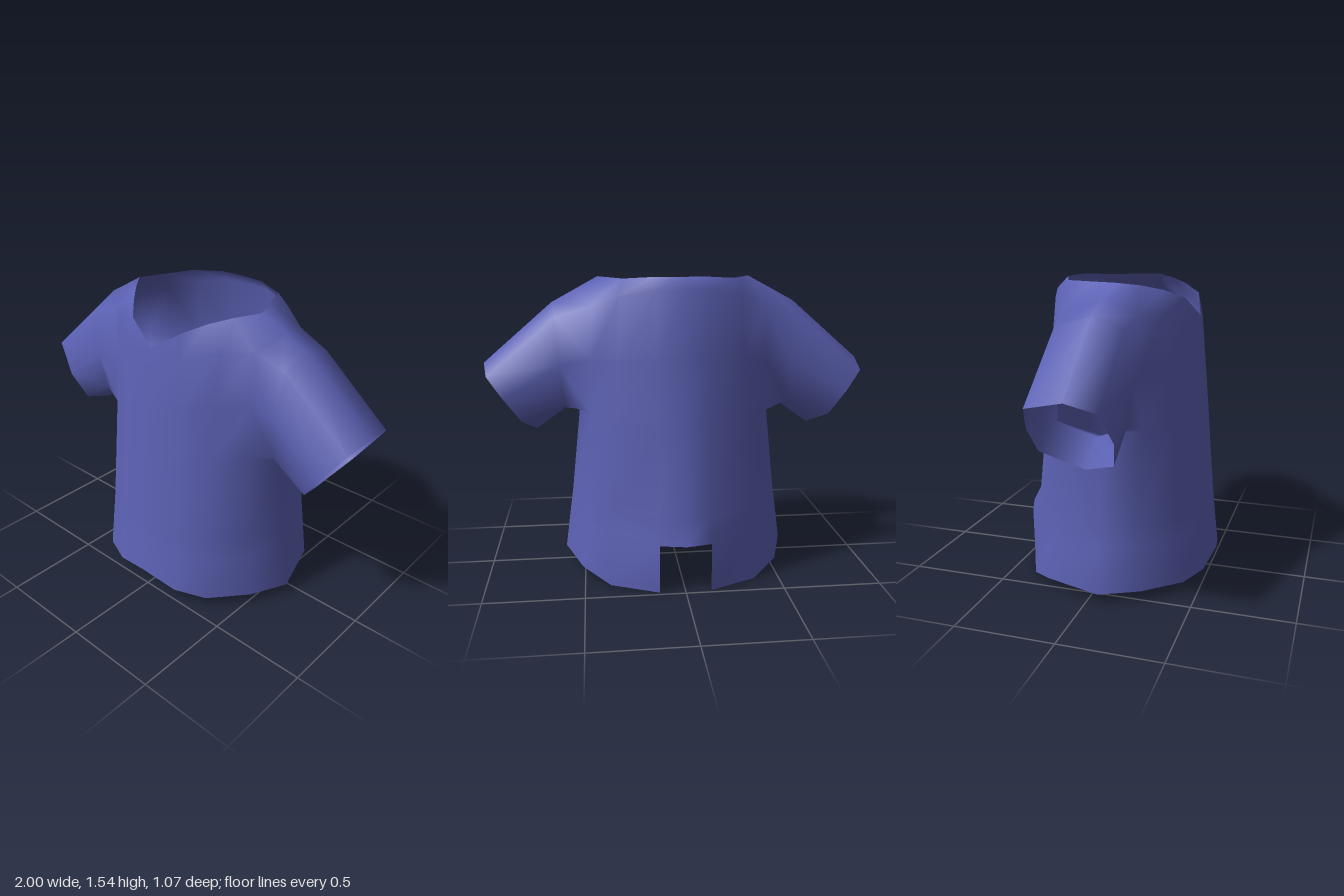
import * as THREE from 'three';

// Half cross-sections of the body, from centre front round the +x side to centre back: [x, y, z]
const HEM = [[0, .11, .53], [.2, .065, .5], [.36, .055, .43], [.51, .05, .25], [.605, .05, .06], [.51, .05, -.24], [.37, 0, -.37], [.13, 0, -.48], [0, 0, -.54]];
const ARMPIT = [[0, .84, .455], [.18, .84, .43], [.33, .84, .36], [.46, .85, .235], [.51, .83, .06], [.45, .86, -.2], [.34, .84, -.3], [.13, .84, -.385], [0, .84, -.4]];
const SHOULDER = [[0, 1.25, .42], [.18, 1.33, .385], [.34, 1.38, .3], [.45, 1.39, .21], [.52, 1.465, .07], [.44, 1.4, -.165], [.3, 1.45, -.25], [.13, 1.48, -.31], [0, 1.48, -.32]];
const NECK = [[0, 1.35, .41], [.16, 1.45, .365], [.24, 1.49, .28], [.32, 1.515, .19], [.4, 1.53, .09], [.34, 1.53, -.05], [.28, 1.53, -.19], [.13, 1.54, -.25], [0, 1.54, -.26]];

// Armhole as [row, column] of the body: top, front, bottom, back
const ARMHOLE = [[5, 4], [5, 3], [4, 3], [3, 3], [3, 4], [3, 5], [4, 5], [5, 5]];

// Sleeve lines in armhole order: [z, middle x, middle y, height up the slanted cuff 0..1]
const SLEEVE = [
  [.06, .64, 1.4, 1], [.2, .62, 1.34, .88], [.232, .6, 1.1, .45], [.2, .58, .89, .1],
  [.06, .585, .84, 0], [-.14, .58, .9, .24], [-.155, .6, 1.1, .58], [-.13, .62, 1.34, .88],
];

const COLS = 16;

const blend = (from, to, t) => from.map((p, i) => p.map((v, k) => v + (to[i][k] - v) * t));
const level = (section, y) => section.map(([x, , z]) => [x, y, z]);

export function createModel() {
  const points = [];
  const parts = { body: [], leftSleeve: [], rightSleeve: [] };
  const add = ([x, y, z], side = 1) => points.push(x * side, y, z) / 3 - 1;
  const quad = (list, a, b, c, d) => list.push(a, b, c, a, c, d);

  // The row at the top of the back notch kicks out into a small lip
  const notchRow = level(blend(HEM, ARMPIT, .33), .28);
  notchRow[7] = [.13, .25, -.485];
  notchRow[8] = [0, .26, -.535];
  const sections = [
    HEM,
    notchRow,
    level(blend(HEM, ARMPIT, .48), .38),
    ARMPIT,
    blend(ARMPIT, SHOULDER, .5),
    SHOULDER,
    NECK,
  ];

  // Body rings, mirrored to the -x side
  const rows = sections.map((half) =>
    Array.from({ length: COLS }, (_, j) => (j <= 8 ? add(half[j]) : add(half[COLS - j], -1))));

  for (let r = 0; r < rows.length - 1; r++) {
    for (let j = 0; j < COLS; j++) {
      const backNotch = r === 0 && (j === 7 || j === 8);
      const armhole = (r === 3 || r === 4) && [3, 4, 11, 12].includes(j);
      if (backNotch || armhole) continue;
      const k = (j + 1) % COLS;
      quad(parts.body, rows[r][j], rows[r][k], rows[r + 1][k], rows[r + 1][j]);
    }
  }

  // Sleeves grow out of the armholes to a slanted cuff
  const sleeveRings = [
    SLEEVE.map(([z, x, y]) => [x, y, z]),
    SLEEVE.map(([z, , , s]) => [.74 + .26 * s, .73 + .36 * s, z]),
  ];
  for (const side of [1, -1]) {
    const list = side > 0 ? parts.leftSleeve : parts.rightSleeve;
    let inner = ARMHOLE.map(([r, c]) => rows[r][side > 0 ? c : COLS - c]);
    for (const ring of sleeveRings) {
      const outer = ring.map((p) => add(p, side));
      for (let i = 0; i < 8; i++) {
        const k = (i + 1) % 8;
        if (side > 0) quad(list, inner[i], inner[k], outer[k], outer[i]);
        else quad(list, inner[k], inner[i], outer[i], outer[k]);
      }
      inner = outer;
    }
  }

  // Smooth normals across the whole garment, so the sleeve seams blend
  const whole = new THREE.BufferGeometry();
  whole.setAttribute('position', new THREE.Float32BufferAttribute(points, 3));
  whole.setIndex(Object.values(parts).flat());
  whole.computeVertexNormals();

  // One mesh per part
  const cloth = new THREE.MeshStandardMaterial({ color: 0x5c61b4, side: THREE.DoubleSide });
  const group = new THREE.Group();
  group.name = 'shirt';
  for (const [name, index] of Object.entries(parts)) {
    whole.setIndex(index);
    const mesh = new THREE.Mesh(whole.toNonIndexed(), cloth);
    mesh.name = name;
    group.add(mesh);
  }
  return group;
}
